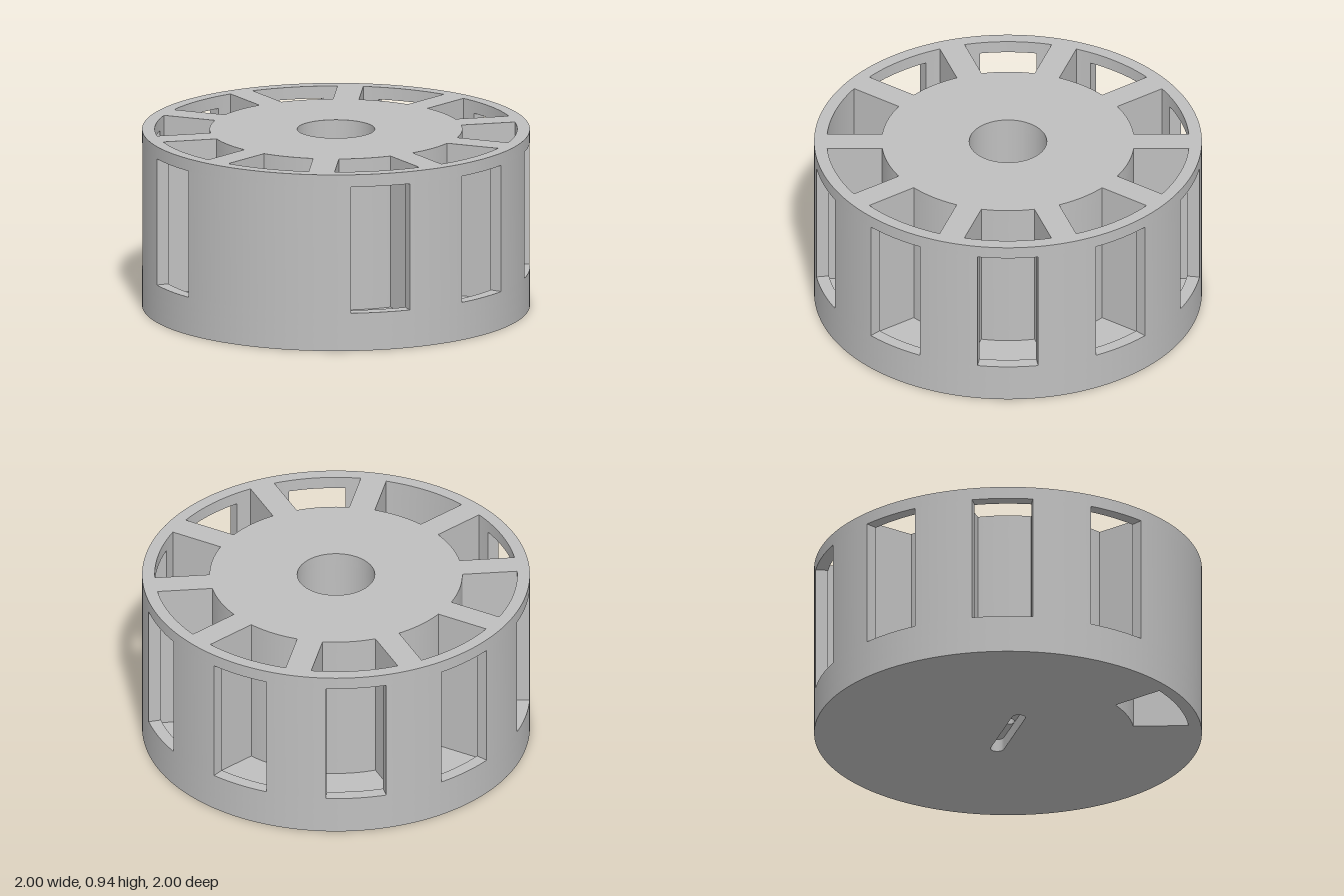
import * as THREE from 'three';
import { toCreasedNormals } from 'three/addons/utils/BufferGeometryUtils.js';

const RIM = 1, WALL_IN = 0.935, HUB = 0.652, RIB_HALF = 0.067;
const BORE = 0.2, PIN = 0.035, SLOT_HALF = 0.195;
const STEP = 36, COUNT = 10, WINDOW_HALF = 9;
const DROP_ANGLE = 126; // pocket that is open below and has no window

const rad = THREE.MathUtils.degToRad;

// points on an arc, angles in degrees from +x towards +z
function arc(r, a0, a1, cx = 0) {
  const n = Math.max(1, Math.round(Math.abs(a1 - a0) / 1.5));
  return Array.from({ length: n + 1 }, (_, i) => {
    const a = rad(a0 + ((a1 - a0) * i) / n);
    return new THREE.Vector2(cx + r * Math.cos(a), r * Math.sin(a));
  });
}

const circle = (r) => arc(r, 0, 360).slice(0, -1);

// half angle of a pocket at radius r, leaving ribs of constant thickness
const pocketHalf = (r) => STEP / 2 - THREE.MathUtils.radToDeg(Math.asin(RIB_HALF / r));
const OUT_HALF = pocketHalf(WALL_IN), IN_HALF = pocketHalf(HUB);

const pocket = (c) => [
  ...arc(WALL_IN, c - OUT_HALF, c + OUT_HALF),
  ...arc(HUB, c + IN_HALF, c - IN_HALF),
];

const slot = () => [...arc(PIN, -90, 90, SLOT_HALF), ...arc(PIN, 90, 270, -SLOT_HALF)];

// outline of the wheel where the windows cut through the outer wall
function windowedOutline() {
  const points = [];
  for (let i = 0; i < COUNT; i++) {
    const c = 18 + i * STEP;
    if (c === DROP_ANGLE) {
      points.push(...arc(RIM, c - WINDOW_HALF, c + WINDOW_HALF).slice(1, -1));
    } else {
      points.push(
        ...arc(WALL_IN, c - WINDOW_HALF, c - OUT_HALF),
        ...arc(HUB, c - IN_HALF, c + IN_HALF),
        ...arc(WALL_IN, c + OUT_HALF, c + WINDOW_HALF),
      );
    }
    points.push(...arc(RIM, c + WINDOW_HALF, c + STEP - WINDOW_HALF));
  }
  return points;
}

export function createModel() {
  const model = new THREE.Group();
  model.name = 'compartmentWheel';
  const grey = new THREE.MeshStandardMaterial({ color: 0xbfbfbf });
  grey.name = 'grey plastic';

  function layer(name, y0, y1, outline, holes) {
    const shape = new THREE.Shape(outline);
    shape.holes = holes.map((h) => new THREE.Path(h));
    const geo = new THREE.ExtrudeGeometry(shape, { depth: y1 - y0, bevelEnabled: false });
    geo.rotateX(Math.PI / 2);
    geo.translate(0, y1, 0);
    const mesh = new THREE.Mesh(toCreasedNormals(geo, 0.5), grey);
    mesh.name = name;
    model.add(mesh);
  }

  const drop = pocket(DROP_ANGLE);
  const pockets = Array.from({ length: COUNT }, (_, i) => pocket(18 + i * STEP));

  // base with the drive slot below and the pin hole above it
  layer('slottedBase', 0, 0.067, circle(RIM), [slot(), drop]);
  layer('pocketFloor', 0.067, 0.133, circle(RIM), [circle(PIN), drop]);
  // pocket walls: closed sill, windowed band, closed top rim
  layer('windowSill', 0.133, 0.2, circle(RIM), [circle(BORE), ...pockets]);
  layer('windowedWall', 0.2, 0.87, windowedOutline(), [circle(BORE), drop]);
  layer('topRim', 0.87, 0.935, circle(RIM), [circle(BORE), ...pockets]);

  return model;
}
